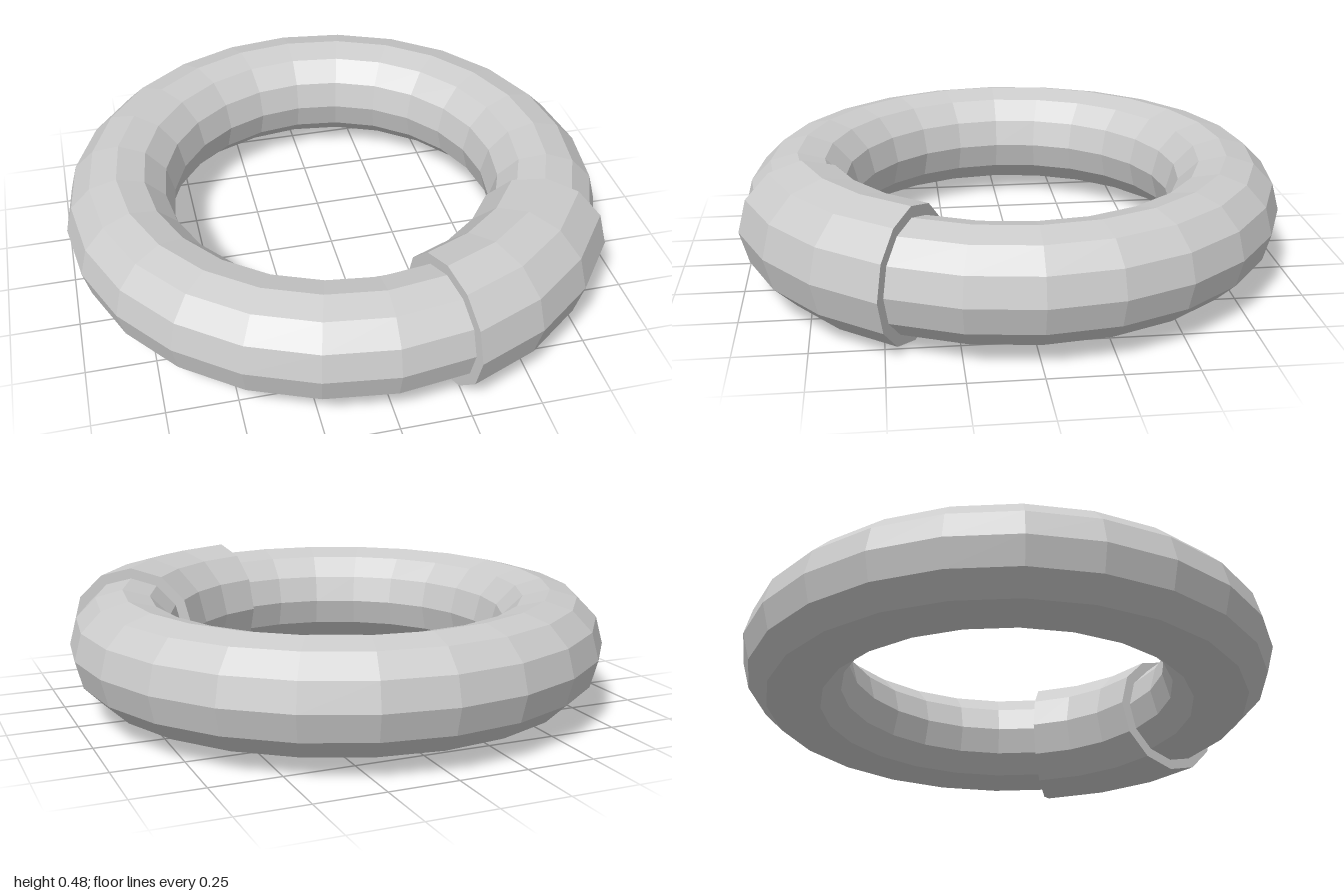
import * as THREE from 'three';

const RING_RADIUS = 0.8;
const TUBE = 0.2;
const SLEEVE = 0.24;
const SIDES = 12;
const START = Math.PI / 6; // sleeve start, measured from +x towards +z
const ARC = Math.PI / 4;

export function createModel() {
  const model = new THREE.Group();
  model.name = 'ringWithSleeve';
  const material = new THREE.MeshStandardMaterial({ color: 0xcccccc, flatShading: true });

  const add = (parent, name, geometry) => {
    const mesh = new THREE.Mesh(geometry, material);
    mesh.name = name;
    parent.add(mesh);
  };

  // Parts are built around the z axis, then laid flat
  const body = new THREE.Group();
  body.name = 'body';
  body.rotation.x = Math.PI / 2;
  body.position.set(0, SLEEVE, -0.002);
  model.add(body);

  // Full ring
  add(body, 'ring', new THREE.TorusGeometry(RING_RADIUS, TUBE, SIDES, 24));

  // Thicker sleeve around one eighth of the ring
  const sleeve = new THREE.Group();
  sleeve.name = 'sleeve';
  body.add(sleeve);
  add(sleeve, 'sleeveShell',
    new THREE.TorusGeometry(RING_RADIUS, SLEEVE, SIDES, 3, ARC).rotateZ(START));

  // Flat rims closing both sleeve ends, facing outwards
  for (const [name, facing, angle] of [
    ['sleeveStartRim', 1, START],
    ['sleeveEndRim', -1, START + ARC],
  ]) {
    add(sleeve, name, new THREE.RingGeometry(TUBE, SLEEVE, SIDES)
      .rotateX(facing * Math.PI / 2)
      .translate(RING_RADIUS, 0, 0)
      .rotateZ(angle));
  }

  return model;
}
